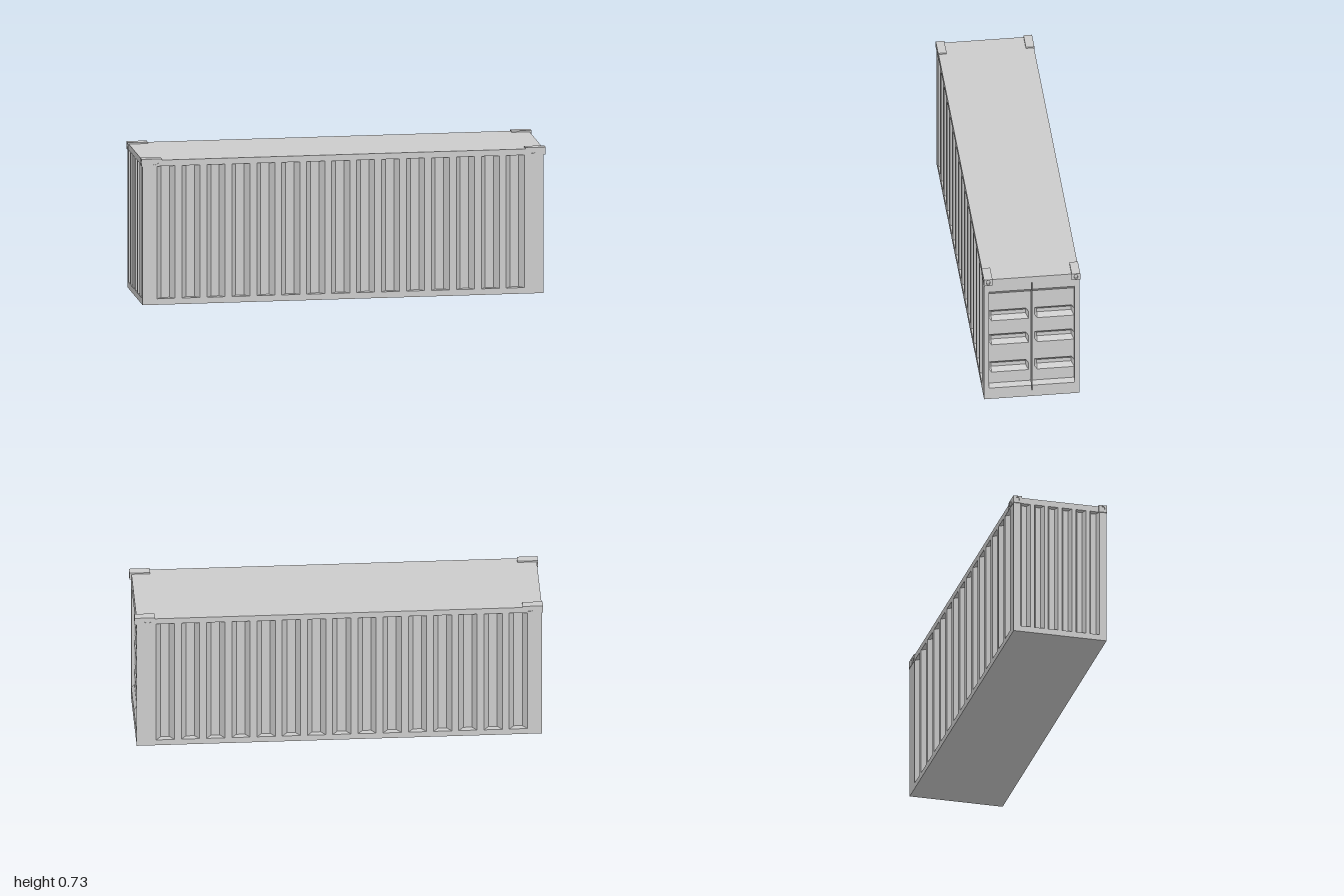
import * as THREE from 'three';

const X0 = -0.995, X1 = 0.99, Z = 0.235;      // body ends and half width
const Y0 = 0.03, Y1 = 0.69, TOP = 0.72;       // rails: floor top, roof underside, roof top
const DOOR = 0.21;                            // half width of the door opening
const mat = new THREE.MeshStandardMaterial({ color: 0xcccccc });

function add(group, name, geometry, x = 0, y = 0, z = 0) {
  const mesh = new THREE.Mesh(geometry, mat);
  mesh.name = name;
  mesh.position.set(x, y, z);
  group.add(mesh);
  return mesh;
}

// Trapezoid corrugations along a line, as [distance, depth] pairs
function corrugation(start, count, pitch, slope, width, depth) {
  const pts = [];
  for (let k = 0; k < count; k++) {
    const s = start + k * pitch;
    pts.push([s, 0], [s + slope, depth], [s + width - slope, depth], [s + width, 0]);
  }
  return pts;
}

// Footprint of the corrugated walls, with a notch for the doors
function wallGeometry() {
  const side = corrugation(-0.924, 15, 0.1235, 0.024, 0.09, 0.03);
  const end = corrugation(-0.2, 6, 0.07, 0.012, 0.05, 0.028);
  const pts = [
    [X0, -Z], ...side.map(([s, d]) => [s, d - Z]),
    [X1, -Z], [X1, -DOOR], [0.93, -DOOR], [0.93, DOOR], [X1, DOOR], [X1, Z],
    ...side.map(([s, d]) => [s, Z - d]).reverse(), [X0, Z],
    ...end.map(([s, d]) => [X0 + d, s]).reverse(),
  ].map(([x, y]) => new THREE.Vector2(x, y));
  return new THREE.ExtrudeGeometry(new THREE.Shape(pts), { depth: Y1 - Y0, bevelEnabled: false })
    .rotateX(-Math.PI / 2);
}

// 0 outside [a, b], 1 inside, with sloping ends
const ramp = (v, a, b, slope) => THREE.MathUtils.clamp(Math.min(v - a, b - v) / slope, 0, 1);

// Pressed door sheet: a shallow panel, three grooves per leaf and the gap between leaves
function doorGeometry() {
  const grooves = [0.15, 0.315, 0.46];
  const ys = [Y0, 0.035, 0.0355, 0.065, 0.085, 0.625, 0.645, 0.6845, 0.685, Y1];
  grooves.forEach(g => ys.push(g, g + 0.021, g + 0.042, g + 0.063));
  ys.sort((a, b) => a - b);
  const half = [0.0015, 0.002, 0.015, 0.028, 0.197, DOOR];
  const zs = [...half.map(z => -z).reverse(), ...half];
  const depth = (y, z) => {
    let d = 0.015 * ramp(y, 0.065, 0.645, 0.02);
    for (const g of grooves) {
      d += 0.02 * Math.min(ramp(y, g, g + 0.063, 0.021), ramp(Math.abs(z), 0.015, DOOR, 0.013));
    }
    if (Math.abs(z) < 0.0018 && y > 0.0352 && y < 0.6848) d += 0.02;
    return d;
  };
  const pos = [];
  const put = (y, z) => pos.push(X1 - depth(y, z), y, z);
  for (let i = 0; i < ys.length - 1; i++) {
    for (let j = 0; j < zs.length - 1; j++) {
      const [a, b, c, d] = [ys[i], ys[i + 1], zs[j], zs[j + 1]];
      put(a, c); put(b, c); put(b, d);
      put(a, c); put(b, d); put(a, d);
    }
  }
  const g = new THREE.BufferGeometry();
  g.setAttribute('position', new THREE.Float32BufferAttribute(pos, 3));
  g.computeVertexNormals();
  return g;
}

// Block with an oval hole, extruded along z from its centre
function holedBlock(w, h, depth, rx, ry) {
  const shape = new THREE.Shape([[-w, -h], [w, -h], [w, h], [-w, h]]
    .map(([x, y]) => new THREE.Vector2(x / 2, y / 2)));
  shape.holes.push(new THREE.Path().absellipse(0, 0, rx, ry, 0, Math.PI * 2, true));
  return new THREE.ExtrudeGeometry(shape, { depth, bevelEnabled: false, curveSegments: 12 })
    .translate(0, 0, -depth / 2);
}

export function createModel() {
  const model = new THREE.Group();
  model.name = 'shippingContainer';
  const length = X1 - X0, mid = (X0 + X1) / 2;

  add(model, 'floor', new THREE.BoxGeometry(length, Y0, 2 * Z), mid, Y0 / 2, 0);
  add(model, 'roof', new THREE.BoxGeometry(length, TOP - Y1, 2 * Z), mid, (TOP + Y1) / 2, 0);
  add(model, 'corrugatedWalls', wallGeometry(), 0, Y0, 0);
  add(model, 'doors', doorGeometry());

  // Corner castings at the top, with an end hole and a side hole each
  const endBlock = holedBlock(0.042, 0.037, 0.03, 0.009, 0.014).rotateY(Math.PI / 2);
  const sideBlock = holedBlock(0.07, 0.037, 0.042, 0.018, 0.011);
  for (const sx of [-1, 1]) {
    for (const sz of [-1, 1]) {
      const corner = new THREE.Group();
      corner.name = 'cornerCasting';
      add(corner, 'endBlock', endBlock, sx * 0.985, 0, 0);
      add(corner, 'sideBlock', sideBlock, sx * 0.935, 0, 0);
      corner.position.set(0, 0.7085, sz * 0.216);
      model.add(corner);
    }
  }
  return model;
}
